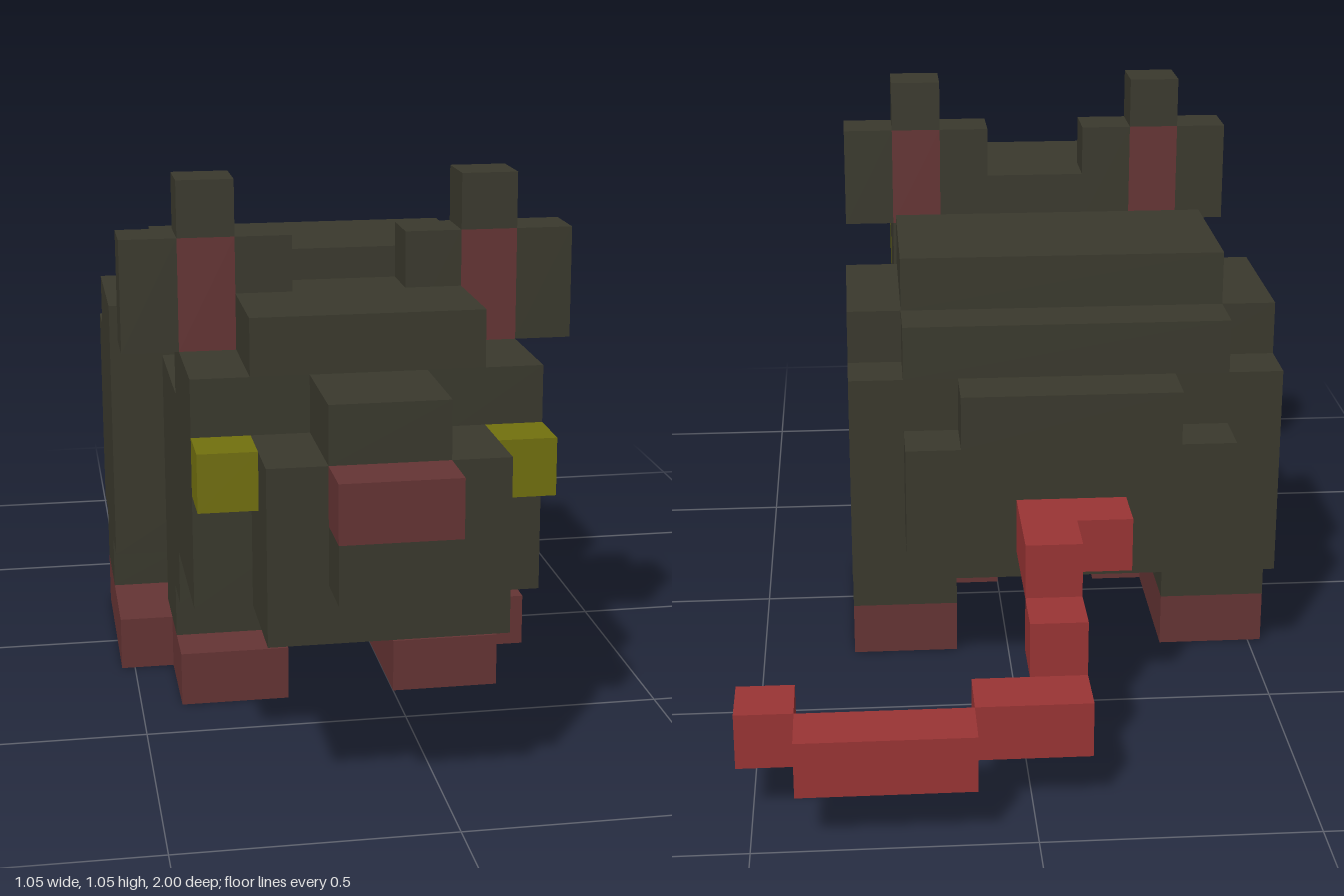
import * as THREE from 'three';

// One voxel; the model is 10 wide, 10 high and 19 long
const U = 2 / 19;

export function createModel() {
  const mat = (name, color) => {
    const m = new THREE.MeshStandardMaterial({ color });
    m.name = name;
    return m;
  };
  const fur = mat('dark fur', 0x3a392d);
  const skin = mat('dusky pink skin', 0x653434);
  const eyeColor = mat('yellow eye', 0x72700e);
  const tailColor = mat('red tail', 0x993434);

  const model = new THREE.Group();
  model.name = 'rat';

  const group = (name) => {
    const g = new THREE.Group();
    g.name = name;
    model.add(g);
    return g;
  };

  // Block spanning voxel ranges [from, to] on x, y and z
  const block = (parent, name, material, [x0, x1], [y0, y1], [z0, z1]) => {
    const geo = new THREE.BoxGeometry((x1 - x0) * U, (y1 - y0) * U, (z1 - z0) * U);
    const mesh = new THREE.Mesh(geo, material);
    mesh.name = name;
    mesh.position.set(((x0 + x1) / 2 - 5) * U, ((y0 + y1) / 2) * U, ((z0 + z1) / 2 - 9.5) * U);
    parent.add(mesh);
  };

  // The same block on both sides of the body, mirrored about x = 4
  const pair = (parent, name, material, [x0, x1], y, z) => {
    block(parent, name + 'Right', material, [x0, x1], y, z);
    block(parent, name + 'Left', material, [8 - x1, 8 - x0], y, z);
  };

  // Body
  const body = group('body');
  block(body, 'rump', fur, [1, 7], [3, 5], [5, 6]);
  block(body, 'rumpTop', fur, [2, 6], [5, 6], [5, 6]);
  block(body, 'haunches', fur, [0, 8], [2, 6], [6, 7]);
  block(body, 'haunchesTop', fur, [1, 7], [6, 7], [6, 7]);
  block(body, 'torso', fur, [0, 8], [2, 7], [7, 10]);
  block(body, 'backHump', fur, [1, 7], [7, 8], [7, 10]);
  block(body, 'shoulders', fur, [1, 7], [2, 6], [10, 13]);
  block(body, 'shouldersTop', fur, [2, 6], [6, 7], [10, 13]);

  // Head
  const head = group('head');
  block(head, 'skull', fur, [1, 7], [3, 7], [13, 16]);
  block(head, 'brow', fur, [2, 6], [7, 8], [14, 16]);
  block(head, 'crown', fur, [3, 5], [7, 8], [13, 14]);
  block(head, 'snout', fur, [2, 6], [3, 6], [16, 18]);
  block(head, 'snoutBridge', fur, [3, 5], [6, 7], [16, 18]);
  block(head, 'mouth', fur, [3, 5], [4, 5], [18, 19]);
  block(head, 'nose', skin, [3, 5], [5, 6], [18, 19]);
  pair(head, 'eye', eyeColor, [1, 2], [5, 6], [16, 17]);

  // Ears
  const ears = group('ears');
  pair(ears, 'earOuter', fur, [0, 1], [7, 9], [13, 14]);
  pair(ears, 'earInside', skin, [1, 2], [7, 9], [13, 14]);
  pair(ears, 'earInner', fur, [2, 3], [7, 9], [13, 14]);
  pair(ears, 'earTip', fur, [1, 2], [9, 10], [13, 14]);

  // Legs and feet
  const legs = group('legs');
  pair(legs, 'hindLeg', fur, [0, 2], [1, 2], [7, 9]);
  pair(legs, 'frontLeg', fur, [1, 3], [1, 2], [10, 12]);
  pair(legs, 'hindFoot', skin, [0, 2], [0, 1], [7, 11]);
  pair(legs, 'frontFoot', skin, [1, 3], [0, 1], [10, 13]);

  // Tail, from the rump to the curled tip
  const tail = group('tail');
  [
    [[3, 5], [3, 4], [4, 5]],
    [[4, 5], [3, 4], [3, 4]],
    [[4, 5], [2, 3], [2, 3]],
    [[4, 6], [1, 2], [1, 2]],
    [[6, 9], [1, 2], [0, 1]],
    [[9, 10], [1, 2], [1, 2]],
  ].forEach((r, i) => block(tail, 'tailSegment' + (i + 1), tailColor, ...r));

  return model;
}
